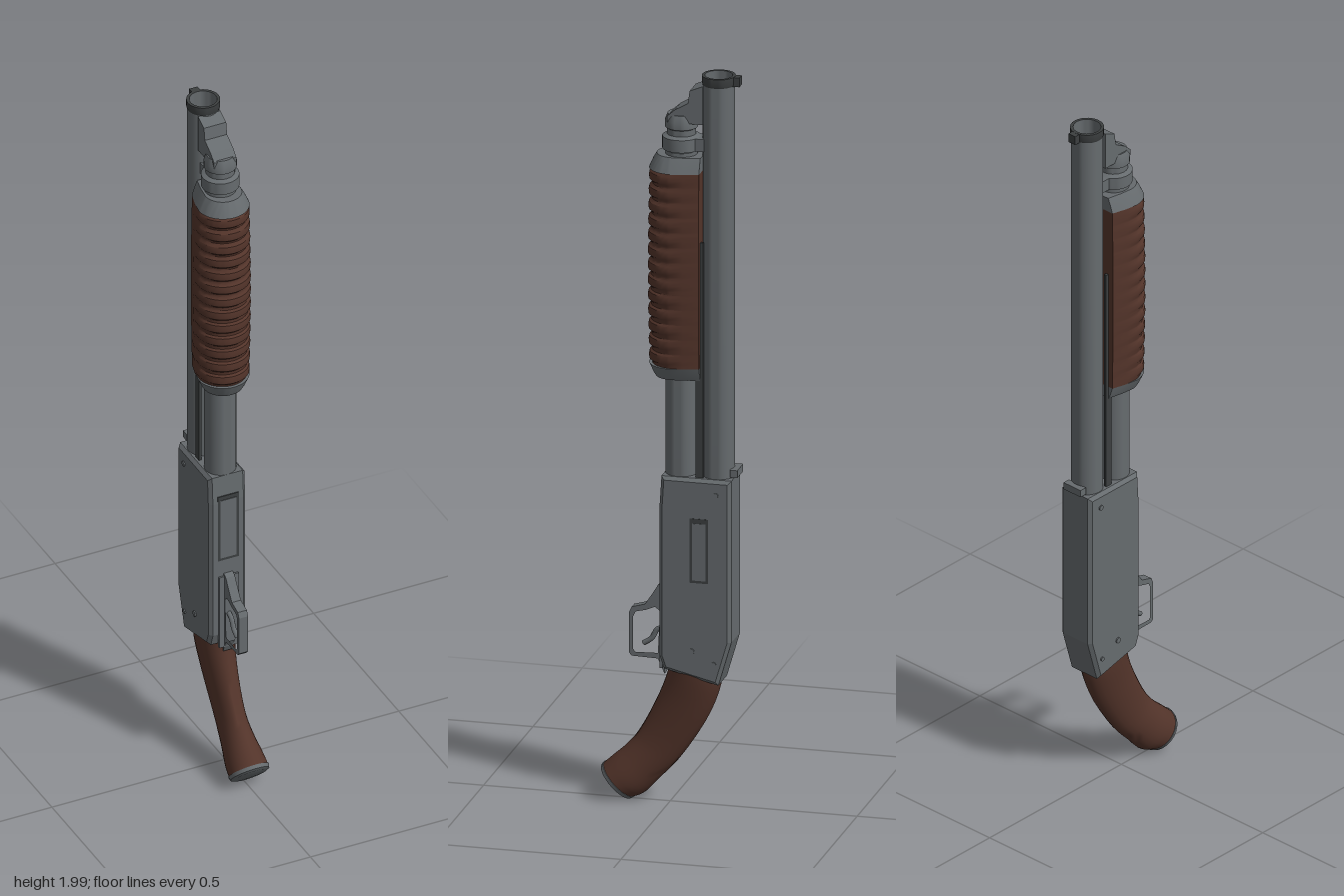
import * as THREE from 'three';
import { toCreasedNormals } from 'three/addons/utils/BufferGeometryUtils.js';

const steel = new THREE.MeshStandardMaterial({ color: 0x666b6e });
steel.name = 'steel';
const darkSteel = new THREE.MeshStandardMaterial({ color: 0x3c3f40 });
darkSteel.name = 'dark steel';
const wood = new THREE.MeshStandardMaterial({ color: 0x53342a });
wood.name = 'wood';

const BARREL_Z = -0.13, TUBE_Z = -0.03;

export function createModel() {
  const model = new THREE.Group();
  model.name = 'pumpProp';

  const add = (name, geo, mat, x = 0, y = 0, z = 0) => {
    const mesh = new THREE.Mesh(geo, mat);
    mesh.name = name;
    mesh.position.set(x, y, z);
    model.add(mesh);
    return mesh;
  };
  const box = (name, mat, w, h, d, x, y, z) => add(name, new THREE.BoxGeometry(w, h, d), mat, x, y, z);

  // Turned part around a vertical axis, profile of [radius, y]
  const turned = (name, profile, mat, z, sides = 28) => {
    const geo = new THREE.LatheGeometry(profile.map(p => new THREE.Vector2(...p)), sides);
    return add(name, toCreasedNormals(geo, 0.6), mat, 0, 0, z);
  };

  // Side profile of [z, y] points extruded across x
  const sidePlate = (name, pts, width, mat, bevel = 0, hole = null) => {
    const shape = new THREE.Shape(pts.map(p => new THREE.Vector2(...p)));
    if (hole) shape.holes.push(new THREE.Path(hole.map(p => new THREE.Vector2(...p))));
    const depth = width - 2 * bevel;
    const geo = new THREE.ExtrudeGeometry(shape, {
      depth, bevelEnabled: bevel > 0, bevelThickness: bevel, bevelSize: bevel, bevelOffset: -bevel, bevelSegments: 1,
    });
    geo.translate(0, 0, -depth / 2);
    geo.rotateY(-Math.PI / 2);
    return add(name, geo, mat);
  };

  // Skin over closed rings listed from bottom to top, with both ends capped
  const loft = (name, rings, mat, crease = 0.7) => {
    const pos = [], idx = [], n = rings[0].length;
    rings.forEach(r => r.forEach(p => pos.push(p.x, p.y, p.z)));
    for (let i = 0; i < rings.length - 1; i++) {
      for (let j = 0; j < n; j++) {
        const a = i * n + j, b = i * n + (j + 1) % n;
        idx.push(a, b, b + n, a, b + n, a + n);
      }
    }
    [0, rings.length - 1].forEach((i, top) => {
      const c = new THREE.Vector3();
      rings[i].forEach(p => c.addScaledVector(p, 1 / n));
      const k = pos.length / 3;
      pos.push(c.x, c.y, c.z);
      for (let j = 0; j < n; j++) {
        const a = i * n + j, b = i * n + (j + 1) % n;
        idx.push(k, top ? a : b, top ? b : a);
      }
    });
    const geo = new THREE.BufferGeometry();
    geo.setAttribute('position', new THREE.Float32BufferAttribute(pos, 3));
    geo.setIndex(idx);
    return add(name, toCreasedNormals(geo, crease), mat);
  };

  // Barrel with open bore
  turned('barrel', [[0, 0.88], [0.042, 0.88], [0.042, 1.975]], steel, BARREL_Z);
  turned('muzzle', [[0.042, 1.975], [0.044, 1.98], [0.044, 2], [0.036, 2]], darkSteel, BARREL_Z);
  turned('bore', [[0.036, 2], [0.036, 1.75], [0, 1.75]], steel, BARREL_Z);
  box('frontSight', darkSteel, 0.024, 0.025, 0.018, 0, 1.987, -0.179);
  box('rearSight', steel, 0.06, 0.02, 0.02, 0, 0.925, -0.177);

  // Magazine tube and its stepped end cap
  turned('magazineTube', [[0, 0.88], [0.042, 0.88], [0.042, 1.79], [0, 1.79]], steel, TUBE_Z);
  turned('tubeCap', [
    [0.036, 1.77], [0.036, 1.79], [0.05, 1.794], [0.05, 1.828], [0.038, 1.834], [0.038, 1.85],
    [0.043, 1.853], [0.043, 1.872], [0.036, 1.89], [0, 1.89],
  ], steel, TUBE_Z);
  box('capBridge', steel, 0.05, 0.034, 0.05, 0, 1.811, -0.08);

  // Lug joining the tube cap to the barrel
  sidePlate('barrelLug', [
    [-0.095, 1.87], [0, 1.87], [0, 1.887], [-0.02, 1.905], [-0.055, 1.925], [-0.06, 1.96], [-0.095, 1.975],
  ], 0.064, steel);

  // Action bars between tube and barrel
  for (const s of [-1, 1]) box('actionBar', darkSteel, 0.008, 0.66, 0.02, s * 0.034, 1.22, -0.088);

  // Ribbed sliding handle: round front, straight sides, flat back
  const handleRing = (y, scale, groove) => {
    const ring = [];
    for (let j = 0; j <= 28; j++) {
      const a = -Math.PI / 2 + (j / 28) * Math.PI;
      const wave = groove * Math.pow(Math.max(0, Math.cos(a * 0.93)), 0.35);
      const r = 0.073 * scale - wave;
      ring.push(new THREE.Vector3(r * Math.sin(a), y, -0.015 + r * Math.cos(a)));
    }
    ring.push(new THREE.Vector3(0.067 * scale, y, -0.05), new THREE.Vector3(0.055 * scale, y, -0.09));
    ring.push(new THREE.Vector3(-0.055 * scale, y, -0.09), new THREE.Vector3(-0.067 * scale, y, -0.05));
    return ring;
  };
  const rows = [], RIBS = 13, Y0 = 1.21, PITCH = 0.53 / RIBS;
  for (let i = 0; i < RIBS; i++) {
    const swell = 0.95 + 0.05 * Math.sin((i + 0.5) / RIBS * Math.PI);
    [[0, 0.009], [0.14, 0.008], [0.3, 0.001], [0.55, 0], [0.8, 0.002], [0.92, 0.008]].forEach(
      ([t, g]) => rows.push(handleRing(Y0 + (i + t) * PITCH, swell, g)));
  }
  rows.push(handleRing(Y0 + 0.53, 0.95, 0.009));
  loft('slideHandle', rows, wood, 0.6);
  loft('handleLowerCollar', [[1.175, 0.72], [1.185, 0.8], [1.21, 0.95]].map(([y, s]) => handleRing(y, s, 0)), steel);
  loft('handleUpperCollar', [[1.74, 0.95], [1.765, 0.8], [1.78, 0.68]].map(([y, s]) => handleRing(y, s, 0)), steel);

  // Receiver body
  sidePlate('receiver', [
    [0.012, 0.91], [0.017, 0.83], [0.017, 0.42], [0.005, 0.385], [-0.14, 0.35], [-0.175, 0.47], [-0.175, 0.91],
  ], 0.106, steel, 0.009);

  // Ejection port on the left side, loading port on the front
  box('ejectionPort', darkSteel, 0.003, 0.175, 0.05, 0.0525, 0.715, -0.09);
  box('ejectionBolt', steel, 0.005, 0.155, 0.036, 0.0525, 0.712, -0.09);
  box('loadingPort', darkSteel, 0.06, 0.2, 0.004, 0, 0.75, 0.0165);
  box('loadingGate', steel, 0.046, 0.18, 0.007, 0, 0.748, 0.0165);

  // Pins through the receiver
  for (const [z, y, r] of [[-0.135, 0.87, 0.007], [-0.07, 0.44, 0.008], [-0.13, 0.41, 0.006]]) {
    const pin = add('receiverPin', new THREE.CylinderGeometry(r, r, 0.113, 12), steel, 0, y, z);
    pin.rotation.z = Math.PI / 2;
  }

  // Trigger group
  box('triggerPlate', steel, 0.056, 0.22, 0.008, 0, 0.49, 0.018);
  sidePlate('triggerGuard', [
    [0.012, 0.61], [0.03, 0.6], [0.045, 0.575], [0.065, 0.545], [0.1, 0.535], [0.107, 0.52],
    [0.107, 0.41], [0.1, 0.402], [0.03, 0.4], [0.012, 0.36],
  ], 0.026, steel, 0, [
    [0.024, 0.53], [0.038, 0.54], [0.062, 0.53], [0.09, 0.523], [0.096, 0.51], [0.096, 0.42], [0.09, 0.413], [0.03, 0.415],
  ]);
  const triggerPath = new THREE.CatmullRomCurve3(
    [[0.01, 0.485], [0.035, 0.475], [0.05, 0.45], [0.072, 0.435]].map(([z, y]) => new THREE.Vector3(0, y, z)));
  add('trigger', new THREE.TubeGeometry(triggerPath, 10, 0.007, 8), steel);

  // Curved grip: oval rings between a front curve and a back curve, x holds the half width
  const front = new THREE.CatmullRomCurve3([
    [0.053, 0.1, 0.178], [0.05, 0.128, 0.148], [0.042, 0.158, 0.115], [0.036, 0.195, 0.085],
    [0.041, 0.29, 0.035], [0.048, 0.36, 0.008], [0.05, 0.4, 0],
  ].map(p => new THREE.Vector3(...p)));
  const back = new THREE.CatmullRomCurve3([
    [0, 0.016, 0.098], [0, 0.028, 0.07], [0, 0.07, 0.03], [0, 0.13, -0.025],
    [0, 0.25, -0.102], [0, 0.335, -0.135], [0, 0.38, -0.14],
  ].map(p => new THREE.Vector3(...p)));
  const gripRing = (f, b, scale = 1) => {
    const c = f.clone().add(b).multiplyScalar(0.5);
    return Array.from({ length: 24 }, (_, j) => {
      const a = (j / 24) * Math.PI * 2, k = 0.5 * scale * Math.cos(a);
      return new THREE.Vector3(f.x * scale * Math.sin(a), c.y + (f.y - b.y) * k, c.z + (f.z - b.z) * k);
    });
  };
  const gripRings = [];
  for (let i = 0; i <= 20; i++) gripRings.push(gripRing(front.getPoint(i / 20), back.getPoint(i / 20)));
  loft('grip', gripRings, wood, 1);

  // Metal cap on the butt of the grip
  const f0 = front.getPoint(0), b0 = back.getPoint(0);
  loft('buttCap', [[0.012, 0.82], [0.008, 1.0], [-0.002, 1.04]].map(([d, s]) => {
    const shift = new THREE.Vector3(0, -0.68 * d, 0.73 * d);
    return gripRing(f0.clone().add(shift), b0.clone().add(shift), s);
  }), steel);

  return model;
}
